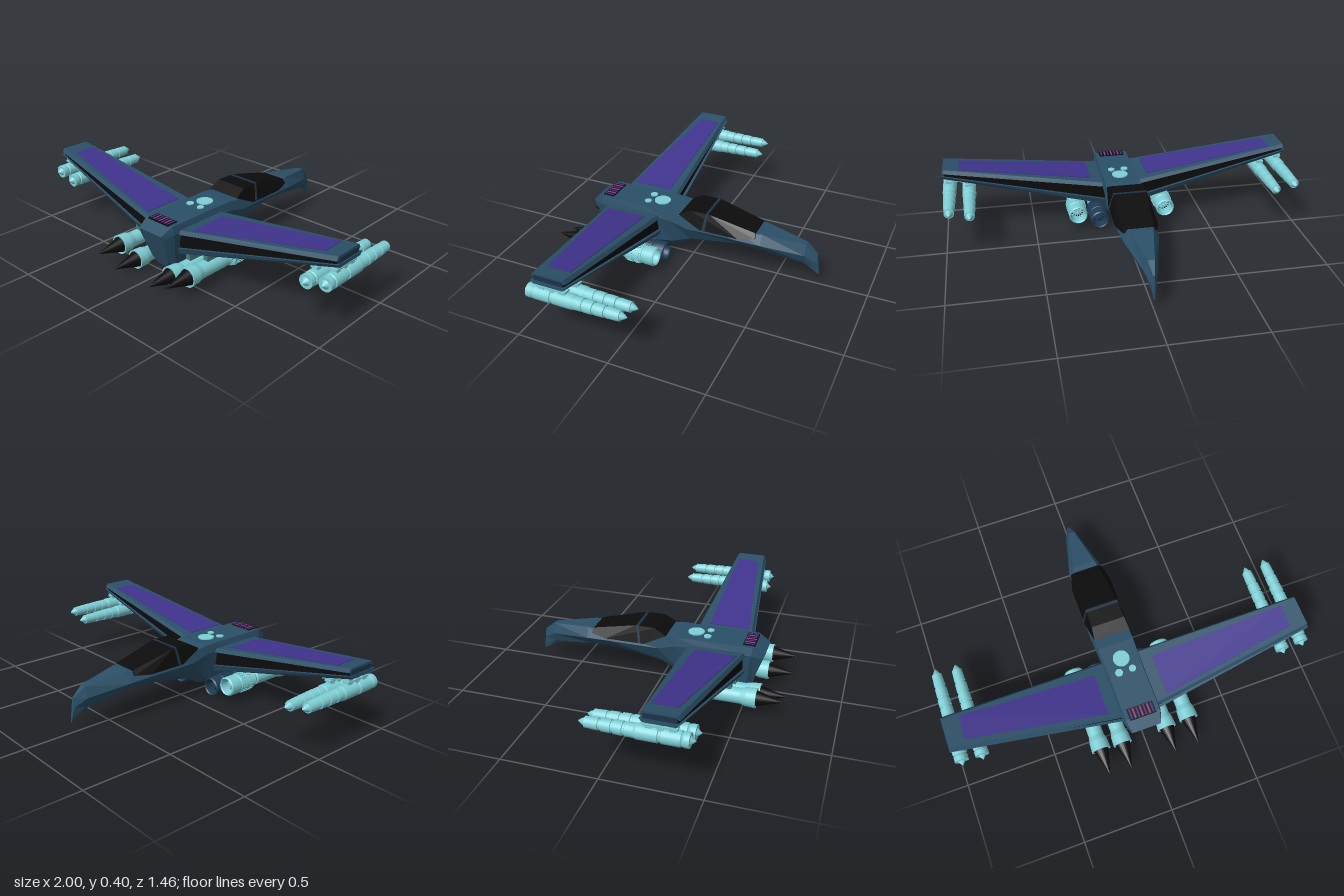
import * as THREE from 'three';
import { ConvexGeometry } from 'three/addons/geometries/ConvexGeometry.js';

const mat = (color, flatShading = false, side = THREE.FrontSide) =>
  new THREE.MeshStandardMaterial({ color, flatShading, side });
const HULL = mat(0x2b5068, true), NAVY = mat(0x1c3349, true), BLACK = mat(0x0c0c0d, true);
const PURPLE = mat(0x40338e, true), MAROON = mat(0x5a1d45, true), PLATE = mat(0x45787c, true);
const CYAN = mat(0x7fd0d6, false, THREE.DoubleSide), DARK = mat(0x1f3c56, false, THREE.DoubleSide);
const PINK = mat(0xa03a7c, true);

function add(parent, name, geometry, material, x = 0, y = 0, z = 0) {
  const mesh = new THREE.Mesh(geometry, material);
  mesh.name = name;
  mesh.position.set(x, y, z);
  parent.add(mesh);
  return mesh;
}

const hull = pts => new ConvexGeometry(pts.map(p => new THREE.Vector3(...p)));

// Closed skin through rings of points ordered counterclockwise from +z, rings in rising z
function loft(rings) {
  const pos = [], n = rings[0].length;
  const tri = (...p) => p.forEach(v => pos.push(...v));
  for (let r = 0; r < rings.length - 1; r++) {
    const a = rings[r], b = rings[r + 1];
    for (let i = 0; i < n; i++) {
      const j = (i + 1) % n;
      tri(a[i], a[j], b[j]);
      tri(a[i], b[j], b[i]);
    }
  }
  const first = rings[0], last = rings[rings.length - 1];
  for (let i = 1; i < n - 1; i++) {
    tri(first[0], first[i + 1], first[i]);
    tri(last[0], last[i], last[i + 1]);
  }
  const g = new THREE.BufferGeometry();
  g.setAttribute('position', new THREE.Float32BufferAttribute(pos, 3));
  g.computeVertexNormals();
  return g;
}

// Turned part along z from [z, radius] pairs; doubled points keep the steps crisp
function turned(profile, sides = 24) {
  const pieces = [];
  for (let i = 0; i < profile.length; i++) {
    const [z, r] = profile[i];
    pieces.push(new THREE.Vector2(r, z));
    if (i > 0 && i < profile.length - 1) pieces.push(new THREE.Vector2(r, z + 1e-5));
  }
  return new THREE.LatheGeometry(pieces, sides).rotateX(Math.PI / 2);
}

function fuselage() {
  const g = new THREE.Group();
  g.name = 'fuselage';
  // z, half widths (top, middle, bottom), heights (top, middle, bottom), backward lean
  const stations = [
    [-0.73, 0.003, 0.005, 0.003, 0.085, 0.07, 0.06, 0],
    [-0.715, 0.005, 0.012, 0.005, 0.19, 0.14, 0.07, 0],
    [-0.65, 0.018, 0.035, 0.015, 0.24, 0.18, 0.115, 0],
    [-0.42, 0.062, 0.092, 0.045, 0.27, 0.215, 0.148, 0],
    [-0.28, 0.09, 0.107, 0.05, 0.265, 0.225, 0.155, 0],
    [0, 0.1, 0.11, 0.06, 0.285, 0.225, 0.11, 0],
    [0.1, 0.1, 0.108, 0.07, 0.3, 0.25, 0.06, 0],
    [0.25, 0.095, 0.105, 0.08, 0.3, 0.26, 0.03, 0],
    [0.52, 0.095, 0.105, 0.08, 0.3, 0.255, 0.03, 0.12],
    [0.585, 0.08, 0.084, 0.06, 0.262, 0.235, 0.045, 0.35],
  ];
  const rings = stations.map(([z, a, b, c, yt, ym, yb, lean]) => {
    const yl = yb + (ym - yb) * 0.2;
    return [[b, ym], [a, yt], [-a, yt], [-b, ym], [-c, yl], [-c * 0.5, yb], [c * 0.5, yb], [c, yl]]
      .map(([x, y]) => [x, y, z - lean * (yt - y)]);
  });
  add(g, 'body', loft(rings), HULL);

  // Canopy and its frame
  const sym = pts => pts.flatMap(([x, y, z]) => [[x, y, z], [-x, y, z]]);
  add(g, 'canopy', hull(sym([[0.09, 0.25, -0.39], [0.07, 0.275, -0.385], [0.09, 0.336, -0.13],
    [0.093, 0.336, -0.02], [0.1, 0.3, 0.045], [0.113, 0.24, -0.3], [0.113, 0.24, -0.08]])), BLACK);
  add(g, 'canopyFrame', hull(sym([[0.092, 0.339, -0.125], [0.092, 0.339, -0.11],
    [0.116, 0.24, -0.11], [0.116, 0.24, -0.095]])), NAVY);

  // Domes and vents on the spine
  for (const [x, z, r] of [[0, 0.19, 0.045], [-0.038, 0.262, 0.021], [0.038, 0.262, 0.019]])
    add(g, 'spineDisc', new THREE.CylinderGeometry(r, r, 0.008, 28), CYAN, x, 0.302, z);
  add(g, 'ventTray', new THREE.BoxGeometry(0.145, 0.008, 0.064), BLACK, 0, 0.3, 0.495);
  for (let i = 0; i < 7; i++)
    add(g, 'ventBar', new THREE.BoxGeometry(0.009, 0.008, 0.056), i % 2 ? PINK : PURPLE,
      (i - 3) * 0.02, 0.302, 0.495);
  return g;
}

const X0 = 0.09, X1 = 0.985;
const mix = (a, b, x) => a + (b - a) * (x - X0) / (X1 - X0);
const topY = x => mix(0.265, 0.405, x), bottomY = x => mix(0.13, 0.352, x);

function wing(s) {
  const g = new THREE.Group();
  g.name = s > 0 ? 'leftWing' : 'rightWing';
  // Tapered slab; each end is x, top, bottom, front z, rear z, with a bevel on the top or bottom face
  const slab = (name, ends, material, bevelTop = 0, bevelBottom = 0) =>
    add(g, name, hull(ends.flatMap(([x, t, b, f, r]) => [
      [s * x, t, f + bevelTop], [s * x, t, r - bevelTop],
      [s * x, b, f + bevelBottom], [s * x, b, r - bevelBottom]])), material);

  slab('upperSkin', [[X0, 0.265, 0.245, 0.16, 0.487], [X1, 0.405, 0.385, 0.2, 0.385]], HULL, 0.012);
  slab('wingCore', [[X0, 0.25, 0.15, 0.178, 0.472], [X1 - 0.005, 0.39, 0.362, 0.212, 0.375]], BLACK);
  slab('lowerSkin', [[X0, 0.165, 0.13, 0.16, 0.487], [X1 + 0.01, 0.37, 0.352, 0.2, 0.385]], HULL, 0, 0.015);
  slab('tipCap', [[X1 - 0.01, 0.395, 0.36, 0.215, 0.37], [X1 + 0.003, 0.395, 0.36, 0.215, 0.37]], NAVY);

  // Flat panels lying on the skins
  const panel = (name, a, b, az, bz, y, lift, material) =>
    slab(name, [[a, y(a) + lift, y(a) - lift, ...az], [b, y(b) + lift, y(b) - lift, ...bz]], material);
  panel('upperPanel', 0.165, 0.9, [0.225, 0.45], [0.225, 0.35], topY, 0.003, PURPLE);
  panel('lowerPanel', 0.38, 0.81, [0.225, 0.41], [0.235, 0.36], bottomY, 0.003, MAROON);
  panel('enginePlate', 0.12, 0.37, [0.21, 0.45], [0.22, 0.42], bottomY, 0.008, PLATE);
  panel('podPlate', 0.82, 0.98, [0.21, 0.375], [0.215, 0.37], bottomY, 0.007, CYAN);
  return g;
}

function engine(s, x, y, intake) {
  const g = new THREE.Group();
  g.name = 'engine';
  g.position.set(s * x, y, 0);
  add(g, 'intakeCowl', turned([[0.2, 0.036], [0.115, 0.042], [0.108, 0.047], [0.115, 0.053],
    [0.165, 0.053], [0.168, 0.05], [0.182, 0.05], [0.185, 0.053], [0.28, 0.053], [0.285, 0.04]]), intake);
  add(g, 'engineBody', turned([[0.285, 0.036], [0.3, 0.042], [0.315, 0.035], [0.32, 0.042],
    [0.5, 0.042], [0.53, 0.05], [0.583, 0.053], [0.583, 0.046], [0.55, 0.04]]), CYAN);
  add(g, 'fanDisc', new THREE.CylinderGeometry(0.04, 0.04, 0.01, 24).rotateX(Math.PI / 2), BLACK, 0, 0, 0.18);
  add(g, 'fanHub', new THREE.ConeGeometry(0.014, 0.05, 16).rotateX(-Math.PI / 2), intake, 0, 0, 0.15);
  for (let i = 0; i < 12; i++) {
    const blade = add(g, 'fanBlade', new THREE.BoxGeometry(0.005, 0.034, 0.012).translate(0, 0.022, 0), intake, 0, 0, 0.16);
    blade.rotation.z = i * Math.PI / 6;
  }
  // Rows of cooling lugs around the cowl
  for (let row = 0; row < 2; row++)
    for (let i = 0; i < 18; i++) {
      const lug = add(g, 'coolingLug', new THREE.BoxGeometry(0.008, 0.005, 0.028).translate(0, 0.054, 0),
        intake, 0, 0, 0.21 + row * 0.042);
      lug.rotation.z = (i + row / 2) * Math.PI / 9;
    }
  add(g, 'exhaustCone', new THREE.ConeGeometry(0.046, 0.16, 24).rotateX(Math.PI / 2), BLACK, 0, 0, 0.645);
  // Strut up to the wing
  add(g, 'engineStrut', new THREE.BoxGeometry(0.03, 0.06, 0.16), PLATE, 0, 0.05, 0.37);
  return g;
}

function pod(s, x, y) {
  const g = new THREE.Group();
  g.name = 'wingPod';
  g.position.set(s * x, y, 0);
  add(g, 'podBody', turned([[-0.1, 0], [-0.085, 0.012], [-0.065, 0.022], [-0.065, 0.027], [0, 0.03],
    [0.002, 0.026], [0.012, 0.026], [0.014, 0.031], [0.06, 0.032], [0.062, 0.028], [0.072, 0.028],
    [0.074, 0.033], [0.115, 0.034], [0.117, 0.03], [0.127, 0.03], [0.129, 0.034], [0.17, 0.034],
    [0.18, 0.038], [0.28, 0.038], [0.283, 0.033], [0.293, 0.033], [0.296, 0.038], [0.385, 0.038],
    [0.39, 0.033], [0.4, 0.037], [0.425, 0.037], [0.425, 0.022], [0.45, 0]], 20), CYAN);
  for (const z of [0.235, 0.29, 0.345])
    add(g, 'podMount', new THREE.BoxGeometry(0.03, bottomY(x) - y, 0.03), CYAN, 0, (bottomY(x) - y) / 2, z);
  add(g, 'podRail', new THREE.BoxGeometry(0.036, 0.01, 0.16), CYAN, 0, 0.05, 0.29);
  return g;
}

export function createModel() {
  const model = new THREE.Group();
  model.name = 'starfighter';
  model.add(fuselage());
  for (const s of [1, -1]) {
    model.add(wing(s));
    model.add(engine(s, 0.255, 0.1, CYAN), engine(s, 0.13, 0.058, DARK));
    model.add(pod(s, 0.96, 0.277), pod(s, 0.855, 0.25));
  }
  return model;
}
